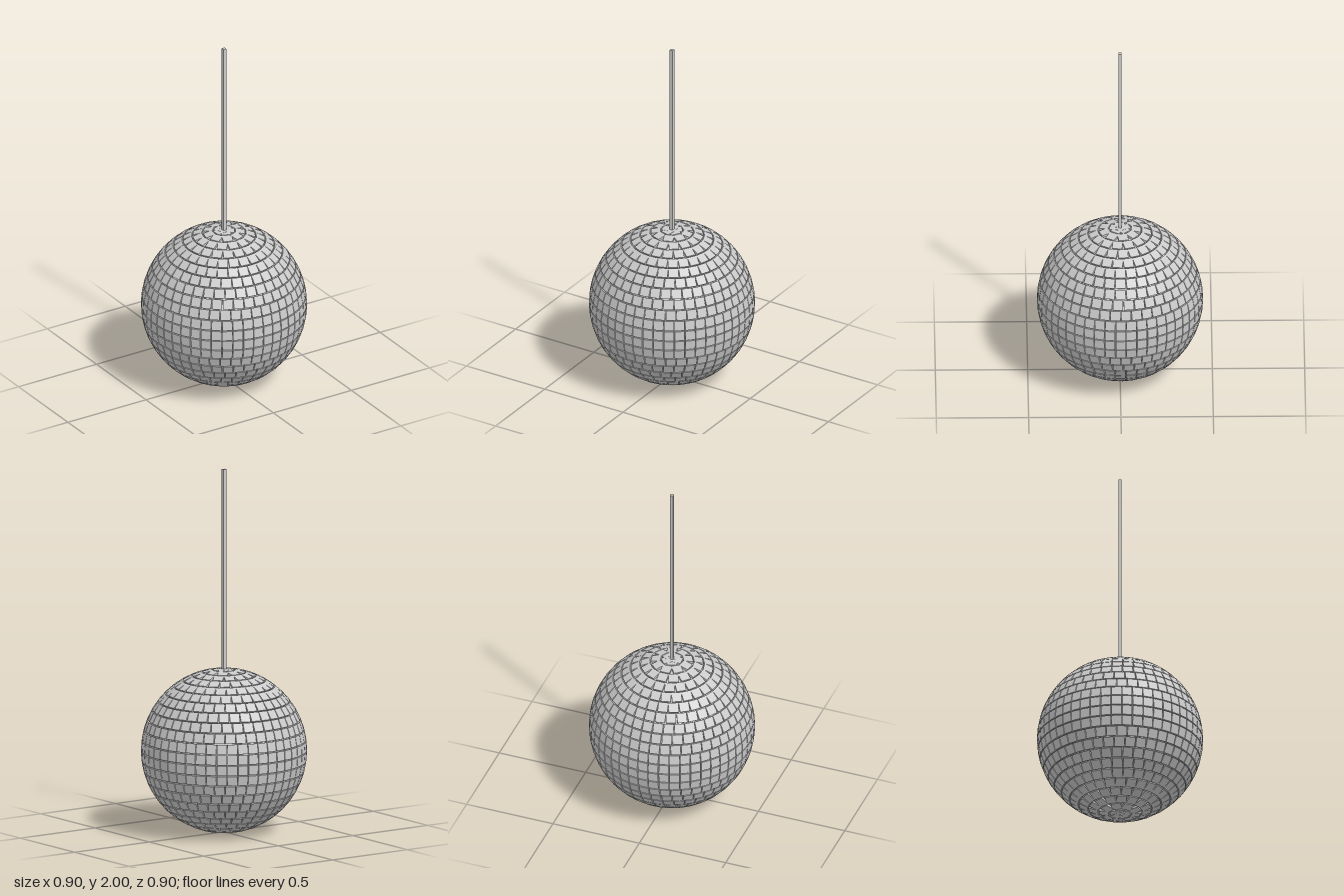
import * as THREE from 'three';
import { mergeGeometries } from 'three/addons/utils/BufferGeometryUtils.js';

const RADIUS = 0.45, ROWS = 24, STEP = Math.PI / ROWS;
const TILE_W = 0.054, TILE_H = 0.053, TILE_D = 0.02;
const FACE = 0.4483; // distance from the ball centre to a tile's outer face

// One ring of flat mirror tiles, all tangent to the ball
function tileRing(row) {
  const polar = (row + 0.5) * STEP;
  const r = FACE * Math.sin(polar), y = FACE * Math.cos(polar);
  const count = Math.max(5, Math.floor((2 * Math.PI * r) / 0.0575));
  const tiles = [];
  for (let i = 0; i < count; i++) {
    const tile = new THREE.BoxGeometry(TILE_W, TILE_H, TILE_D);
    tile.translate(0, 0, FACE - TILE_D / 2);
    tile.rotateX(polar - Math.PI / 2);
    // start each ring at the back, the polar rings slightly turned
    const turn = Math.PI + (count === 5 ? 0.38 : 0) + (i / count) * Math.PI * 2;
    tile.rotateY(turn);
    tiles.push(tile);
  }
  return mergeGeometries(tiles);
}

export function createModel() {
  const model = new THREE.Group();
  model.name = 'mirrorBall';
  const material = new THREE.MeshStandardMaterial({ color: 0xcccccc });

  const ball = new THREE.Group();
  ball.name = 'ball';
  ball.position.y = RADIUS;
  model.add(ball);

  // Inner sphere seen between the tiles
  const core = new THREE.Mesh(new THREE.SphereGeometry(0.437, 48, 32), material);
  core.name = 'core';
  ball.add(core);

  // Mirror tiles
  for (let row = 0; row < ROWS; row++) {
    const ring = new THREE.Mesh(tileRing(row), material);
    ring.name = 'tileRing' + (row + 1);
    ball.add(ring);
  }

  // Square hanging rod
  const bottom = 0.85, top = 2;
  const rod = new THREE.Mesh(new THREE.BoxGeometry(0.018, top - bottom, 0.018), material);
  rod.name = 'hangingRod';
  rod.position.y = (top + bottom) / 2;
  model.add(rod);

  return model;
}
